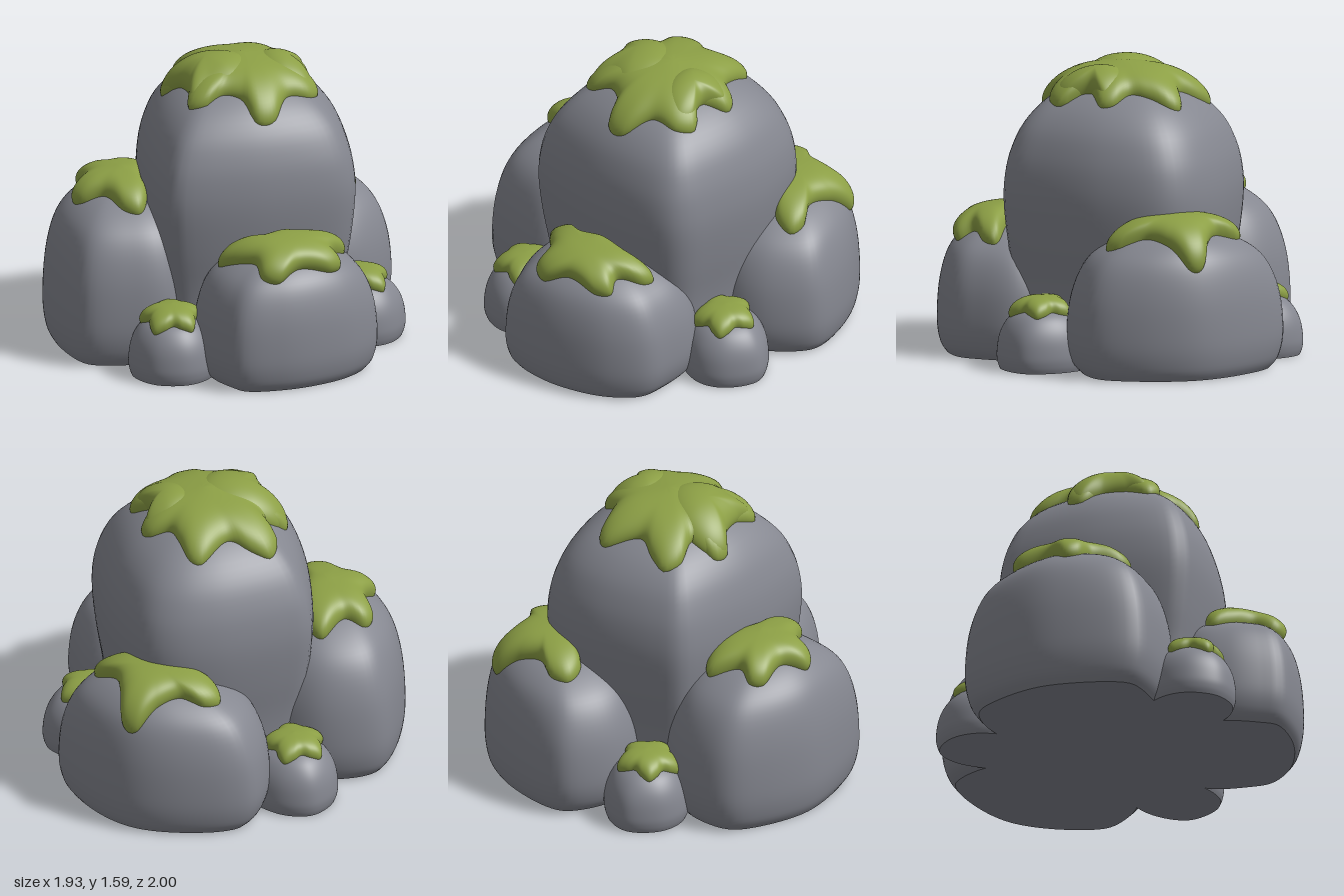
import * as THREE from 'three';
import { mergeVertices } from 'three/addons/utils/BufferGeometryUtils.js';

const TAU = Math.PI * 2;

// Closed surface from rings: point(u, angle) gives a Vector3
function rings(rows, cols, point) {
  const pos = [], idx = [];
  for (let i = 0; i <= rows; i++)
    for (let j = 0; j < cols; j++) pos.push(...point(i / rows, (j / cols) * TAU).toArray());
  for (let i = 0; i < rows; i++)
    for (let j = 0; j < cols; j++) {
      const a = i * cols + j, b = i * cols + ((j + 1) % cols), c = a + cols, d = b + cols;
      idx.push(a, c, b, b, c, d);
    }
  let geo = new THREE.BufferGeometry();
  geo.setAttribute('position', new THREE.Float32BufferAttribute(pos, 3));
  geo.setIndex(idx);
  geo = mergeVertices(geo, 1e-5);
  geo.computeVertexNormals();
  return geo;
}

// Smooth closed outline of [x, z] points as a radius per angle about a centre
function outline(points, [cx, cz]) {
  const curve = new THREE.CatmullRomCurve3(
    points.map(([x, z]) => new THREE.Vector3(x - cx, 0, z - cz)), true, 'centripetal');
  const table = curve.getPoints(500)
    .map(p => [(Math.atan2(p.z, p.x) + TAU) % TAU, Math.hypot(p.x, p.z)])
    .sort((a, b) => a[0] - b[0]);
  return angle => {
    const t = ((angle % TAU) + TAU) % TAU;
    let k = table.findIndex(e => e[0] >= t);
    if (k < 0) k = 0;
    const b = table[k], a = table[(k + table.length - 1) % table.length];
    const span = (b[0] - a[0] + TAU) % TAU, f = span > 1e-6 ? ((t - a[0] + TAU) % TAU) / span : 0;
    return a[1] + (b[1] - a[1]) * f;
  };
}

// Profiles: [relative radius, relative height], the index of the widest point,
// and how far the outline rounds off towards the top
const boulderProfile = {
  wide: 2, round: 0.55,
  points: [[0.87, 0], [0.955, 0.08], [1, 0.25], [0.965, 0.53], [0.85, 0.75], [0.66, 0.88], [0.36, 0.97], [0, 1]],
};
const smallProfile = {
  wide: 2, round: 0.5,
  points: [[0.93, 0], [0.98, 0.1], [1, 0.25], [0.95, 0.5], [0.83, 0.7], [0.63, 0.86], [0.33, 0.965], [0, 1]],
};
const mainProfile = {
  wide: 3, round: 0.75,
  points: [[0.85, 0], [0.9, 0.25], [0.965, 0.42], [1, 0.56], [0.99, 0.66], [0.94, 0.75], [0.835, 0.84], [0.65, 0.917], [0.37, 0.975], [0, 1]],
};

// A rock surface and the height on its upper part at any x, z
function makeRock({ center, height, points, profile = boulderProfile }) {
  const radius = outline(points, center);
  let mean = 0;
  for (let i = 0; i < 64; i++) mean += radius((i / 64) * TAU) / 64;
  const curve = new THREE.SplineCurve(profile.points.map(p => new THREE.Vector2(...p)));
  const ringRadius = (s, angle, upper) => {
    const r = radius(angle), blend = upper ? profile.round * (1 - s) : 0;
    return Math.max(0, s) * (r + (mean - r) * blend);
  };
  const widest = profile.wide / (profile.points.length - 1);
  const at = (v, angle) => {
    const p = curve.getPoint(v), r = ringRadius(p.x, angle, v > widest);
    return new THREE.Vector3(center[0] + r * Math.cos(angle), p.y * height, center[1] + r * Math.sin(angle));
  };
  const heightAt = (x, z) => {
    const dx = x - center[0], dz = z - center[1], d = Math.hypot(dx, dz), angle = Math.atan2(dz, dx);
    let lo = widest, hi = 1;
    for (let i = 0; i < 24; i++) {
      const mid = (lo + hi) / 2;
      if (ringRadius(curve.getPoint(mid).x, angle, true) > d) lo = mid; else hi = mid;
    }
    return curve.getPoint(lo).y * height;
  };
  return { at, heightAt };
}

// Puffy moss patch that follows the rock below it; a higher power gives a flatter top
function mossGeometry(rock, { center, points, thick, power = 5 }) {
  const radius = outline(points, center), e = 0.015, h = rock.heightAt;
  return rings(22, 120, (u, angle) => {
    const s = Math.cos(u * Math.PI / 2), r = s * radius(angle);
    const x = center[0] + r * Math.cos(angle), z = center[1] + r * Math.sin(angle);
    const n = new THREE.Vector3(h(x - e, z) - h(x + e, z), 2 * e, h(x, z - e) - h(x, z + e)).normalize();
    const lift = thick * Math.sqrt(Math.max(0, 1 - s ** power)) - 0.012;
    return new THREE.Vector3(x, h(x, z), z).addScaledVector(n, lift);
  });
}

// Lobed star outline for moss
function star([cx, cz], r, lobes, turn) {
  return Array.from({ length: lobes * 4 }, (_, i) => {
    const a = (i / (lobes * 4)) * TAU;
    const d = r * (0.87 + 0.13 * Math.cos(lobes * a));
    return [cx + d * Math.cos(a + turn), cz + d * Math.sin(a + turn)];
  });
}

// Small rock stretched inwards, towards the middle of the pile
function smallRock(cx, cz, turn) {
  const len = Math.hypot(cx, cz), ix = -cx / len, iz = -cz / len;
  return {
    center: [cx, cz], height: 0.335, profile: smallProfile,
    points: [[0.23, 0.02], [0.17, 0.16], [0.02, 0.23], [-0.15, 0.17], [-0.23, 0.03], [-0.19, -0.15], [-0.03, -0.22], [0.17, -0.17]]
      .map(([x, z]) => {
        const push = 0.7 * Math.max(0, x * ix + z * iz);
        return [cx + x * 1.02 + ix * push, cz + z * 1.02 + iz * push];
      }),
    moss: [{ center: [cx, cz + 0.01], points: star([cx, cz + 0.01], 0.168, 5, turn), thick: 0.068 }],
  };
}

export function createModel() {
  const stone = new THREE.MeshStandardMaterial({ color: 0x858790 });
  stone.name = 'grey stone';
  const green = new THREE.MeshStandardMaterial({ color: 0x8c9f45 });
  green.name = 'green moss';

  const rocks = {
    mainBoulder: {
      center: [0.04, 0.02], height: 1.5, profile: mainProfile,
      points: [[0.7, -0.03], [0.69, 0.08], [0.42, 0.43], [0.12, 0.67], [0.02, 0.71], [-0.08, 0.66], [-0.37, 0.38],
        [-0.58, 0.03], [-0.61, -0.08], [-0.55, -0.2], [-0.29, -0.51], [-0.08, -0.64], [0.08, -0.65], [0.37, -0.47], [0.61, -0.19]],
      moss: [
        { center: [0.06, 0], thick: 0.09,
          points: [[-0.13, -0.39], [-0.07, -0.4], [0.03, -0.33], [0.11, -0.28], [0.22, -0.31], [0.28, -0.28], [0.29, -0.13],
            [0.44, -0.1], [0.46, 0], [0.38, 0.12], [0.39, 0.28], [0.32, 0.35], [0.2, 0.3], [0.1, 0.33], [0.05, 0.43],
            [-0.03, 0.45], [-0.1, 0.33], [-0.18, 0.25], [-0.31, 0.24], [-0.35, 0.16], [-0.28, 0.06], [-0.4, -0.03],
            [-0.41, -0.12], [-0.32, -0.17], [-0.2, -0.2]] },
        { center: [-0.07, 0.16], thick: 0.12, power: 2,
          points: [[0.18, 0.1], [0.17, 0.24], [0.06, 0.34], [-0.01, 0.43], [-0.09, 0.34], [-0.19, 0.26], [-0.32, 0.22],
            [-0.33, 0.13], [-0.24, 0.02], [-0.08, -0.04], [0.1, -0.01]] },
        { center: [0.22, -0.09], thick: 0.115, power: 2,
          points: [[0.42, -0.07], [0.43, 0.01], [0.32, 0.07], [0.16, 0.04], [0.05, -0.08], [0.1, -0.23], [0.24, -0.28], [0.29, -0.14]] },
      ],
    },
    rightFrontBoulder: {
      center: [-0.47, 0.4], height: 0.875,
      points: [[-0.96, 0.12], [-0.945, 0.32], [-0.85, 0.575], [-0.71, 0.74], [-0.48, 0.91], [-0.38, 0.935], [-0.18, 0.83],
        [-0.02, 0.68], [0.02, 0.4], [-0.1, 0.05], [-0.35, -0.1], [-0.67, -0.12], [-0.88, 0.0]],
      moss: [{ center: [-0.5, 0.38], thick: 0.1,
        points: [[-0.61, 0.08], [-0.66, 0.24], [-0.76, 0.27], [-0.77, 0.34], [-0.66, 0.46], [-0.65, 0.6], [-0.58, 0.63],
          [-0.47, 0.59], [-0.32, 0.64], [-0.24, 0.61], [-0.25, 0.52], [-0.34, 0.4], [-0.4, 0.25], [-0.52, 0.1]] }],
    },
    leftFrontBoulder: {
      center: [0.52, 0.42], height: 0.7,
      points: [[0.95, 0.17], [0.945, 0.38], [0.85, 0.6], [0.71, 0.78], [0.53, 0.905], [0.42, 0.88], [0.25, 0.8], [0.11, 0.66],
        [0.08, 0.4], [0.2, 0.06], [0.45, -0.09], [0.68, -0.09], [0.86, 0.05]],
      moss: [{ center: [0.62, 0.48], thick: 0.095,
        points: [[0.71, 0.13], [0.76, 0.19], [0.76, 0.33], [0.83, 0.36], [0.82, 0.44], [0.7, 0.58], [0.65, 0.71], [0.57, 0.74],
          [0.49, 0.67], [0.35, 0.66], [0.25, 0.64], [0.25, 0.57], [0.38, 0.51], [0.47, 0.38], [0.6, 0.26]] }],
    },
    backBoulder: {
      center: [-0.01, -0.62], height: 0.775,
      points: [[-0.6, -0.68], [-0.53, -0.78], [-0.3, -0.92], [-0.08, -0.99], [0.08, -0.99], [0.3, -0.92], [0.5, -0.79],
        [0.55, -0.7], [0.53, -0.42], [0.4, -0.25], [0, -0.2], [-0.4, -0.25], [-0.56, -0.42]],
      moss: [{ center: [0, -0.67], thick: 0.095,
        points: [[-0.04, -0.94], [0.04, -0.94], [0.12, -0.82], [0.2, -0.72], [0.34, -0.68], [0.38, -0.61], [0.3, -0.54],
          [0.12, -0.54], [0, -0.5], [-0.13, -0.54], [-0.3, -0.55], [-0.37, -0.63], [-0.32, -0.71], [-0.19, -0.74], [-0.11, -0.83]] }],
    },
    smallFrontRock: smallRock(0.04, 0.765, 0.35),
    smallLeftRock: smallRock(0.61, -0.26, 0.2),
    smallRightRock: smallRock(-0.62, -0.26, 0.8),
  };

  const model = new THREE.Group();
  model.name = 'mossyRockPile';
  const add = (name, geo, mat) => {
    const mesh = new THREE.Mesh(geo, mat);
    mesh.name = name;
    model.add(mesh);
  };
  for (const [name, spec] of Object.entries(rocks)) {
    const rock = makeRock(spec);
    add(name, rings(36, 96, rock.at), stone);
    // Flat underside
    const mid = new THREE.Vector3(spec.center[0], 0, spec.center[1]);
    add(name + 'Base', rings(1, 96, (u, a) => mid.clone().lerp(rock.at(0, a), u)), stone);
    spec.moss.forEach((m, i) => add(`${name}Moss${i + 1}`, mossGeometry(rock, m), green));
  }
  return model;
}
